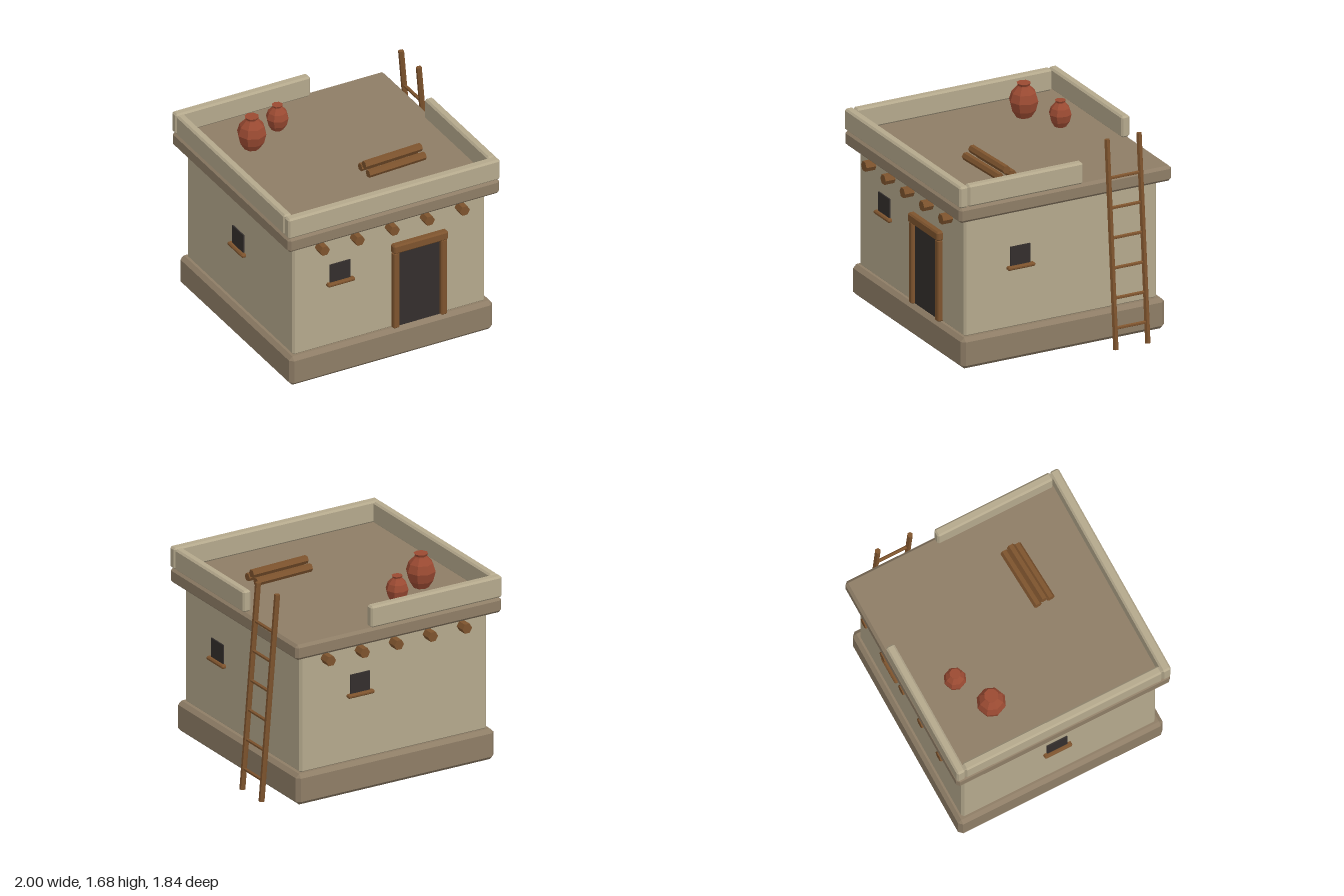
import * as THREE from 'three';
import { ConvexGeometry } from 'three/addons/geometries/ConvexGeometry.js';

const mat = (color) => new THREE.MeshStandardMaterial({ color, flatShading: true });

export function createModel() {
  const root = new THREE.Group();
  const plaster = mat(0xb4a88c), mud = mat(0x8e7d66), wood = mat(0x7d532d);
  const dark = mat(0x332e2c), clay = mat(0x9a4a32);

  function add(name, geometry, material, parent = root) {
    const mesh = new THREE.Mesh(geometry, material);
    mesh.name = name;
    parent.add(mesh);
    return mesh;
  }

  // Box between two corners, with every edge chamfered by c
  function block(name, [x0, y0, z0], [x1, y1, z1], c, material, parent) {
    const w = (x1 - x0) / 2, h = (y1 - y0) / 2, d = (z1 - z0) / 2;
    const points = [];
    for (const i of [-1, 1]) for (const j of [-1, 1]) for (const k of [-1, 1]) {
      points.push(
        new THREE.Vector3(i * w, j * (h - c), k * (d - c)),
        new THREE.Vector3(i * (w - c), j * h, k * (d - c)),
        new THREE.Vector3(i * (w - c), j * (h - c), k * d));
    }
    const mesh = add(name, new ConvexGeometry(points), material, parent);
    mesh.position.set((x0 + x1) / 2, (y0 + y1) / 2, (z0 + z1) / 2);
    return mesh;
  }

  // Round bar from a to b; turn spins its facets
  function bar(name, a, b, radius, sides, turn, parent) {
    const from = new THREE.Vector3(...a), to = new THREE.Vector3(...b);
    const dir = to.clone().sub(from);
    const geometry = new THREE.CylinderGeometry(radius, radius, dir.length(), sides);
    geometry.rotateY(turn);
    const mesh = add(name, geometry, wood, parent);
    mesh.position.copy(from).add(to).multiplyScalar(0.5);
    mesh.quaternion.setFromUnitVectors(new THREE.Vector3(0, 1, 0), dir.normalize());
    return mesh;
  }

  // House body
  block('plinth', [-0.96, 0.008, -0.88], [0.805, 0.26, 0.88], 0.03, mud);
  block('walls', [-0.915, 0.25, -0.835], [0.755, 1.225, 0.835], 0.018, plaster);
  block('roofSlab', [-1, 1.225, -0.92], [0.84, 1.35, 0.92], 0.022, mud);

  // Parapet, open at the back right corner
  block('parapetFront', [-1, 1.35, 0.845], [0.84, 1.525, 0.92], 0.014, plaster);
  block('parapetBack', [-1, 1.35, -0.92], [0.17, 1.525, -0.848], 0.014, plaster);
  block('parapetLeft', [-1, 1.35, -0.848], [-0.93, 1.525, 0.845], 0.014, plaster);
  block('parapetRight', [0.77, 1.35, -0.15], [0.84, 1.525, 0.845], 0.014, plaster);

  // Roof beams, poking out at front and back
  for (let i = 0; i < 5; i++) {
    const x = -0.685 + i * 0.304;
    bar('roofBeam', [x, 1.16, -0.92], [x, 1.16, 0.92], 0.043, 6, Math.PI / 6);
  }

  // Door
  const door = new THREE.Group();
  door.name = 'door';
  root.add(door);
  block('doorOpening', [-0.02, 0.26, 0.82], [0.36, 0.925, 0.845], 0.001, dark, door);
  block('doorJamb', [-0.062, 0.26, 0.82], [-0.01, 0.925, 0.875], 0.008, wood, door);
  block('doorJamb', [0.353, 0.26, 0.82], [0.405, 0.925, 0.875], 0.008, wood, door);
  block('doorLintel', [-0.065, 0.922, 0.82], [0.41, 0.998, 0.885], 0.012, wood, door);

  // Windows, each built facing +z and then turned onto its wall
  for (const [x, y, z, turn] of [
    [-0.51, 0.80, 0.835, 0],
    [0.225, 0.80, -0.835, Math.PI],
    [0.755, 0.75, 0.355, Math.PI / 2],
    [-0.915, 0.75, -0.02, -Math.PI / 2],
  ]) {
    const win = new THREE.Group();
    win.name = 'window';
    block('windowOpening', [-0.088, 0.0, -0.01], [0.088, 0.17, 0.01], 0.001, dark, win);
    block('windowSill', [-0.118, -0.015, -0.01], [0.118, 0.015, 0.036], 0.009, wood, win);
    win.position.set(x, y, z);
    win.rotation.y = turn;
    root.add(win);
  }

  // Ladder leaning on the roof edge
  const ladder = new THREE.Group();
  ladder.name = 'ladder';
  root.add(ladder);
  for (const z of [-0.355, -0.632]) {
    bar('ladderRail', [0.976, 0.002, z], [0.836, 1.675, z], 0.023, 6, 0, ladder);
  }
  for (let i = 0; i < 6; i++) {
    const y = 0.17 + i * 0.239, x = 0.976 - y * 0.0837;
    bar('ladderRung', [x, y, -0.355], [x, y, -0.632], 0.014, 6, 0, ladder);
  }

  // Clay pots
  const profile = [[0, 0], [0.06, 0], [0.098, 0.06], [0.116, 0.135], [0.096, 0.2],
    [0.05, 0.25], [0.046, 0.258], [0.056, 0.278], [0, 0.278]]
    .map(([r, y]) => new THREE.Vector2(r, y));
  for (const [x, z, wide, tall] of [[-0.585, -0.41, 1, 1], [-0.28, -0.56, 0.77, 0.77]]) {
    const pot = add('clayPot', new THREE.LatheGeometry(profile, 8), clay);
    pot.position.set(x, 1.348, z);
    pot.scale.set(wide, tall, wide);
  }

  // Stacked firewood
  const pile = new THREE.Group();
  pile.name = 'firewood';
  for (const [y, z] of [[0.03, -0.057], [0.03, 0.057], [0.078, 0]]) {
    bar('log', [-0.253, y, z], [0.253, y, z], 0.033, 6, 0, pile);
  }
  pile.position.set(0.225, 1.35, 0.332);
  pile.rotation.y = 0.05;
  root.add(pile);

  return root;
}
